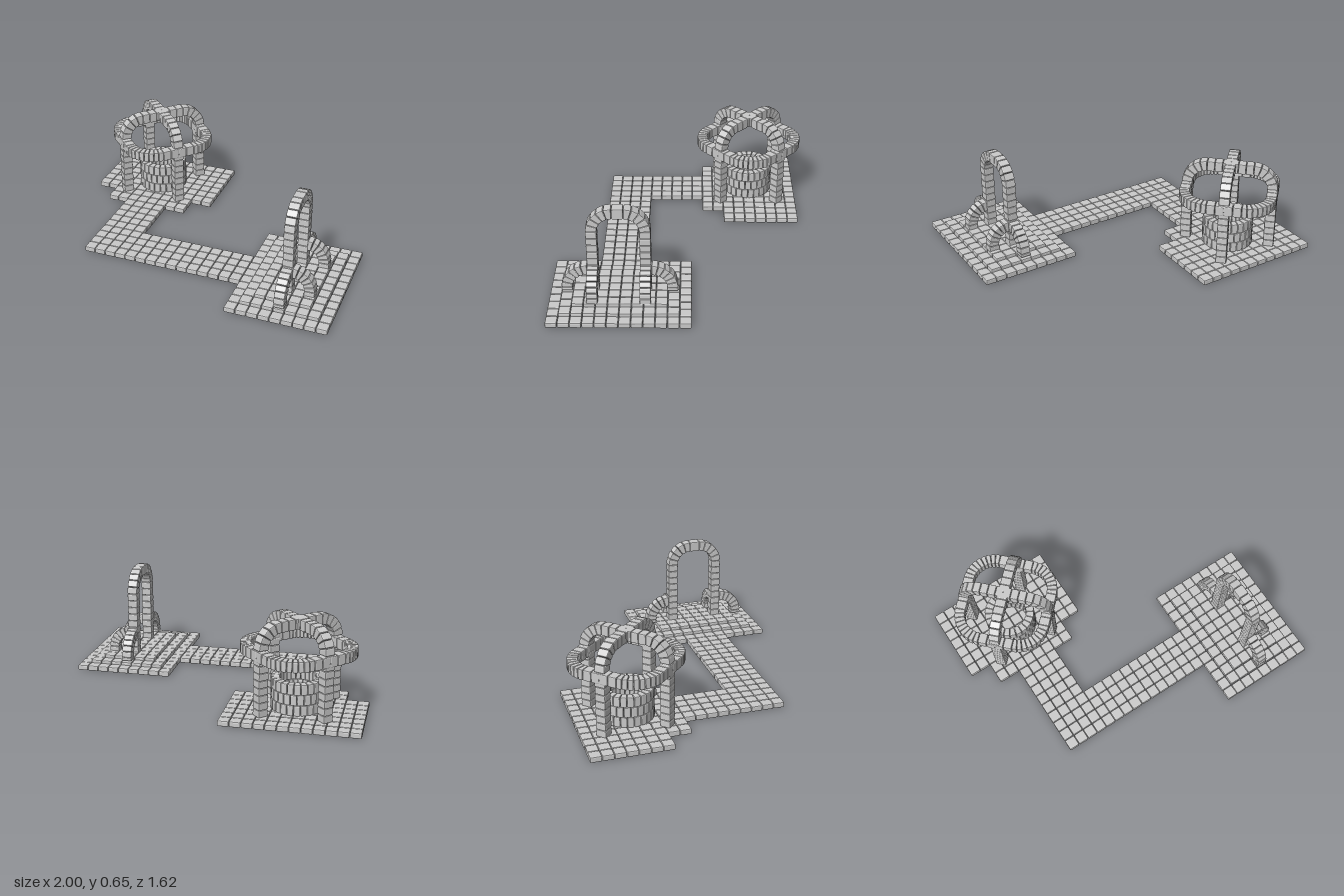
import * as THREE from 'three';
import { mergeGeometries } from 'three/addons/utils/BufferGeometryUtils.js';
import { RoundedBoxGeometry } from 'three/addons/geometries/RoundedBoxGeometry.js';

const stone = new THREE.MeshStandardMaterial({ color: 0xcccccc, flatShading: true });
const PX = 2 / 28, PZ = 0.0725, Z0 = -0.79; // paving grid
const TILE_H = 0.036, BEAM = 0.068;
const HALF = Math.PI / 2;

function mesh(name, geometries) {
  const m = new THREE.Mesh(mergeGeometries(geometries), stone);
  m.name = name;
  return m;
}

// Paving: tiles of the columns c0..c1 and rows r0..r1, each lifted by a rule
function paving(name, c0, c1, r0, r1, lift = () => 0) {
  const tiles = [];
  for (let c = c0; c < c1; c++) {
    for (let r = r0; r < r1; r++) {
      const g = new RoundedBoxGeometry(PX - 0.002, TILE_H, PZ - 0.002, 1, 0.007);
      g.translate(-1 + (c + 0.5) * PX, TILE_H / 2 + lift(c, r), Z0 + (r + 0.5) * PZ);
      tiles.push(g);
    }
  }
  return mesh(name, tiles);
}

// Lays a row of blocks along a planar path in local x, y.
// Each piece is [length, turn angle, number of blocks].
function blockRow(x, y, heading, pieces, width = BEAM, thick = BEAM) {
  const blocks = [];
  for (const [len, turn, n] of pieces) {
    const k = turn / len;
    const at = (s) => {
      const a = heading + k * s;
      if (!turn) return [x + Math.cos(a) * s, y + Math.sin(a) * s, a];
      return [x + (Math.sin(a) - Math.sin(heading)) / k, y - (Math.cos(a) - Math.cos(heading)) / k, a];
    };
    const step = len / n;
    for (let i = 0; i < n; i++) {
      const g = new RoundedBoxGeometry(width, thick, step - 0.002, 1, 0.006);
      const p = g.attributes.position;
      for (let v = 0; v < p.count; v++) {
        const [px, py, a] = at((i + 0.5) * step + p.getZ(v));
        const off = p.getY(v);
        p.setXYZ(v, px - Math.sin(a) * off, py + Math.cos(a) * off, -p.getX(v));
      }
      g.computeVertexNormals();
      blocks.push(g);
    }
    [x, y, heading] = at(len);
  }
  return blocks;
}

// Round-shouldered arch, standing in local x, y
function arch(name, half, base, top, r, legBlocks, topBlocks) {
  const leg = [top - r - base, 0, legBlocks];
  const corner = [r * HALF, -HALF, 5];
  return mesh(name, blockRow(-half, base, HALF,
    [leg, corner, [2 * (half - r), 0, topBlocks], corner, leg]));
}

// Quarter arch rising from a foot at local x and leaning back toward the origin
function buttress(name, foot, r) {
  const base = 0.06, top = 0.211;
  return mesh(name, blockRow(foot, base, HALF, [[top - r - base, 0, 1], [r * HALF, HALF, 6]]));
}

function createPavilion() {
  const g = new THREE.Group();
  g.name = 'wellPavilion';

  // Two crossing arches on the diagonals
  for (const s of [-1, 1]) {
    const a = arch('crossingArch', 0.275, 0.033, 0.575, 0.125, 9, 6);
    a.rotation.y = s * Math.PI / 4;
    g.add(a);
  }

  // Rounded-square ring beam around the legs
  const h = 0.277, r = 0.166, pieces = [];
  for (let i = 0; i < 4; i++) pieces.push([2 * (h - r), 0, 4], [r * HALF, HALF, 9]);
  const ring = mesh('ringBeam', blockRow(-(h - r), -h, 0, pieces));
  ring.rotation.set(-HALF, 0, 0);
  ring.position.y = 0.413;
  const ringTurn = new THREE.Group();
  ringTurn.name = 'ring';
  ringTurn.rotation.y = Math.PI / 4;
  ringTurn.add(ring);
  g.add(ringTurn);

  // Well wall in three staggered courses
  const R = 0.138, courseH = 0.067;
  for (let i = 0; i < 3; i++) {
    const a = i * Math.PI / 24;
    const course = mesh('wellCourse', blockRow(R * Math.cos(a), R * Math.sin(a), a + HALF,
      [[R * 2 * Math.PI, 2 * Math.PI, 24]], courseH, 0.055));
    course.rotation.x = -HALF;
    course.position.y = 0.034 + (i + 0.5) * courseH;
    g.add(course);
  }
  g.position.set(-0.573, 0, -0.457);
  return g;
}

function createGate() {
  const g = new THREE.Group();
  g.name = 'gate';
  const half = 0.16;
  g.add(arch('gateArch', half, 0.06, 0.613, 0.125, 9, 1));
  for (const s of [-1, 1]) {
    // Buttress in the plane of the gate
    const side = buttress('sideButtress', 0.323, 0.128);
    side.rotation.y = s > 0 ? 0 : Math.PI;
    // Buttress at right angles, toward the outer edge of the terrace
    const outer = buttress('outerButtress', 0.14, 0.11);
    outer.rotation.y = HALF;
    outer.position.x = s * half;
    g.add(side, outer);
  }
  g.rotation.y = -HALF;
  g.position.set(0.678, 0, 0.375);
  // local +z points to -x after the turn, so the outer buttresses use local -z
  return g;
}

export function createModel() {
  const model = new THREE.Group();
  model.name = 'stoneCourtyard';

  // Paved ground: pavilion floor, step, L-shaped path and stepped terrace
  model.add(
    paving('pavilionFloor', 0, 12, 0, 7),
    paving('pavilionStep', 2, 10, 7, 9),
    paving('pathNorth', 4, 8, 9, 14),
    paving('pathEast', 4, 19, 14, 18),
    paving('terrace', 19, 28, 10, 22, (c, r) =>
      0.0175 * Math.min(2, c - 19, 27 - c, r - 10, 21 - r)),
  );

  model.add(createPavilion(), createGate());
  return model;
}
